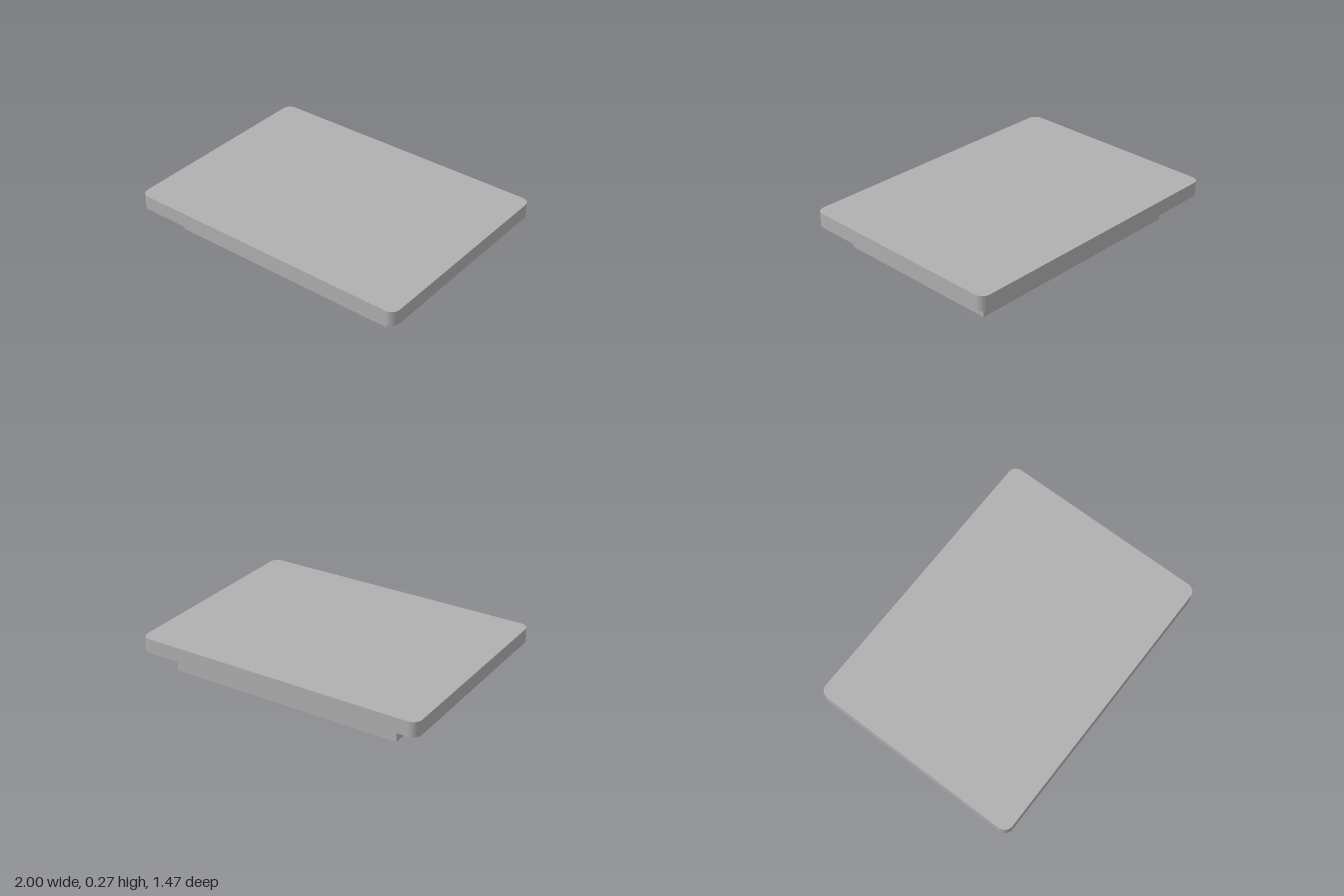
import * as THREE from 'three';
import { toCreasedNormals } from 'three/addons/utils/BufferGeometryUtils.js';

const RIM = 0.165;   // underside of the plate
const TOP = 0.265;   // upper face of the plate
const START = -0.785, WALL = 0.785, END = 0.845; // base extents along x

function roundedRect(w, d, r) {
  const x = w / 2, y = d / 2;
  const s = new THREE.Shape();
  s.moveTo(-x + r, -y);
  s.lineTo(x - r, -y);
  s.absarc(x - r, -y + r, r, -Math.PI / 2, 0);
  s.absarc(x - r, y - r, r, 0, Math.PI / 2);
  s.absarc(-x + r, y - r, r, Math.PI / 2, Math.PI);
  s.absarc(-x + r, -y + r, r, Math.PI, Math.PI * 1.5);
  return s;
}

export function createModel() {
  const group = new THREE.Group();
  group.name = 'slideOnPlate';
  const grey = new THREE.MeshStandardMaterial({ color: 0xb0b0b0 });
  grey.name = 'grey';

  function add(name, geometry) {
    const mesh = new THREE.Mesh(geometry, grey);
    mesh.name = name;
    group.add(mesh);
    return mesh;
  }

  // Top plate with rounded corners
  const plate = new THREE.ExtrudeGeometry(roundedRect(2, 1.47, 0.06), {
    depth: TOP - RIM, bevelEnabled: false, curveSegments: 10,
  });
  plate.rotateX(-Math.PI / 2);
  plate.translate(0, RIM, 0);
  add('topPlate', toCreasedNormals(plate, 0.6));

  // Two L-section rails whose lips form an undercut slot, open at the -x end
  for (const side of [1, -1]) {
    const profile = [[0.585, 0], [0.585, RIM], [0.515, RIM], [0.515, 0.04], [0.42, 0.04], [0.42, 0]];
    const shape = new THREE.Shape(profile.map(([z, y]) => new THREE.Vector2(-side * z, y)));
    const rail = new THREE.ExtrudeGeometry(shape, { depth: WALL - START, bevelEnabled: false });
    rail.rotateY(Math.PI / 2);
    rail.translate(START, 0, 0);
    add(side > 0 ? 'frontRail' : 'backRail', rail);
  }

  // Wall closing the slot at the +x end
  const wall = add('endWall', new THREE.BoxGeometry(END - WALL, RIM, 1.17));
  wall.position.set((WALL + END) / 2, RIM / 2, 0);

  return group;
}
